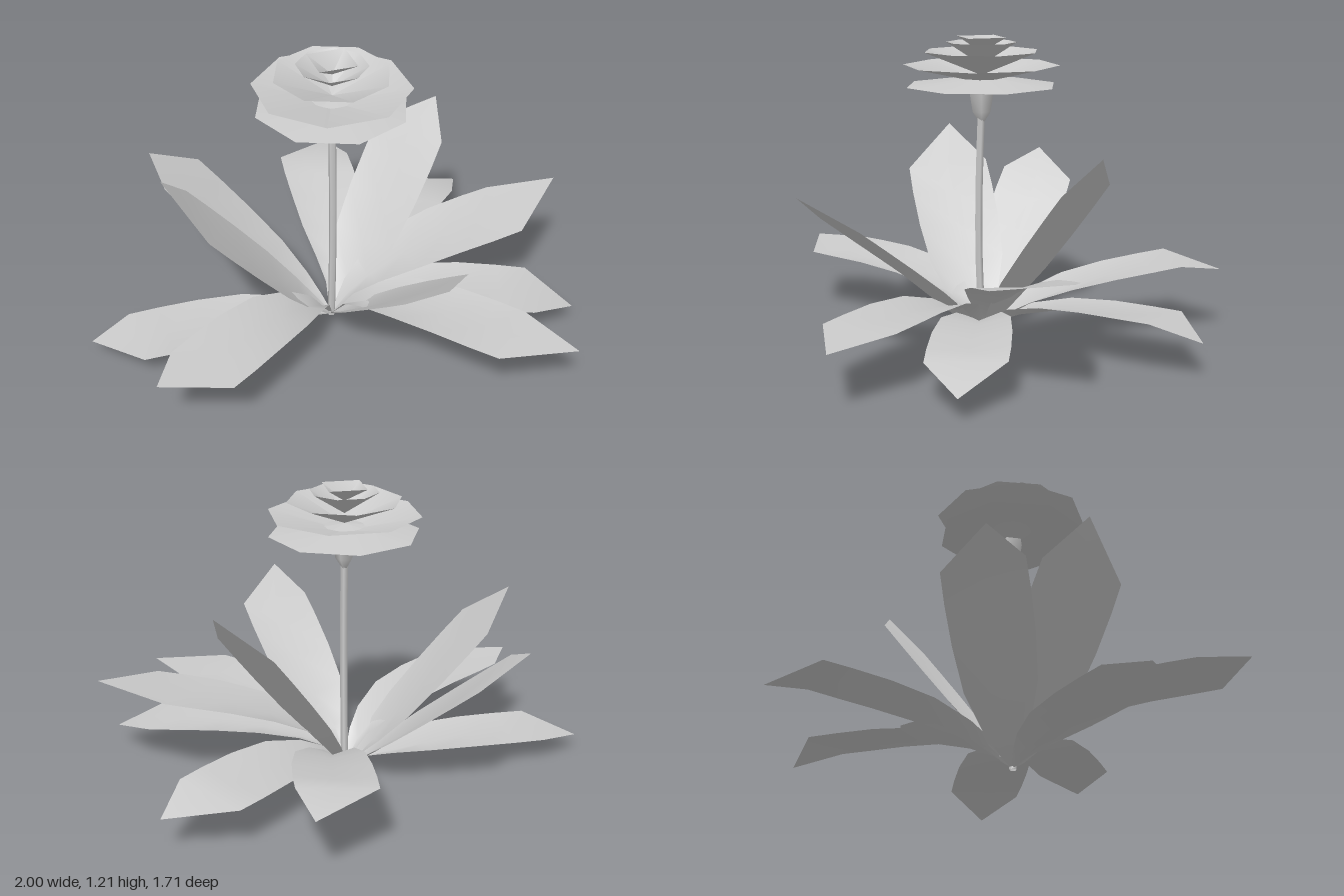
import * as THREE from 'three';

const material = new THREE.MeshStandardMaterial({ color: 0xcccccc, side: THREE.DoubleSide });
const CENTER_Z = 0.065;
const v = (a) => new THREE.Vector3(...a);

// Leaf blade: cross-sections swept from the root to the two shoulder corners, then one tip point
function makeLeaf({ tip, left, right, lift, sway = 0 }) {
  const root = new THREE.Vector3(0, 0.005, CENTER_Z);
  const L = v(left), R = v(right);
  const end = L.clone().add(R).multiplyScalar(0.5);
  const half = R.clone().sub(L).multiplyScalar(0.5);
  const rows = [[0, 0.04], [0.1, 0.32], [0.22, 0.6], [0.42, 0.9], [0.65, 1], [0.85, 1.02], [1, 1]];
  const pos = [], index = [];
  rows.forEach(([t, width], i) => {
    // Steep rise near the root that flattens outwards, with a folded midrib
    const arch = Math.sin(Math.PI * t ** 0.6);
    const fold = 0.035 * Math.sin(Math.PI * Math.sqrt(t));
    for (const side of [-1, 0, 1]) {
      const p = root.clone().lerp(end, t).addScaledVector(half, side * width);
      p.x += sway * arch;
      p.y += lift * arch - (side === 0 ? fold : 0);
      pos.push(p.x, Math.max(p.y, 0), p.z);
    }
    if (i > 0) {
      for (let c = 0; c < 2; c++) {
        const a = (i - 1) * 3 + c, b = a + 3;
        index.push(a, a + 1, b, a + 1, b + 1, b);
      }
    }
  });
  const last = (rows.length - 1) * 3, tipIndex = rows.length * 3;
  pos.push(...tip);
  index.push(last, last + 1, tipIndex, last + 1, last + 2, tipIndex);
  // Wind the faces so that the upper side is the front
  const up = new THREE.Vector3().crossVectors(half, end.clone().sub(root)).y > 0;
  if (!up) for (let i = 0; i < index.length; i += 3) [index[i], index[i + 1]] = [index[i + 1], index[i]];
  const geometry = new THREE.BufferGeometry();
  geometry.setAttribute('position', new THREE.Float32BufferAttribute(pos, 3));
  geometry.setIndex(index);
  geometry.computeVertexNormals();
  return new THREE.Mesh(geometry, material);
}

// Ring from [radius, height] points; turn is in fractions of one side
function makeRing(name, points, sides, turn) {
  const profile = points.map(([r, y]) => new THREE.Vector2(r, y));
  const mesh = new THREE.Mesh(new THREE.LatheGeometry(profile, sides), material);
  mesh.name = name;
  mesh.rotation.y = (turn * Math.PI * 2) / sides;
  mesh.position.z = CENTER_Z;
  return mesh;
}

export function createModel() {
  const model = new THREE.Group();
  model.name = 'floweringPlant';

  // Leaves: tip point, the two shoulder corners, how much the blade arches and bends sideways
  const leaves = [
    { tip: [0.29, 0.265, -0.86], left: [0.03, 0.3, -0.73], right: [0.33, 0.3, -0.665], lift: 0.1, sway: 0.05 },
    { tip: [0.81, 0.145, -0.52], left: [0.52, 0.18, -0.575], right: [0.72, 0.21, -0.34], lift: 0.1 },
    { tip: [0.56, 0.8, -0.22], left: [0.35, 0.66, -0.34], right: [0.53, 0.665, -0.07], lift: 0 },
    { tip: [1, 0.47, 0.06], left: [0.75, 0.4, -0.06], right: [0.75, 0.4, 0.28], lift: 0.12 },
    { tip: [0.925, 0.09, 0.45], left: [0.81, 0.16, 0.23], right: [0.715, 0.155, 0.51], lift: 0.11 },
    { tip: [0.73, 0.225, 0.85], left: [0.63, 0.24, 0.585], right: [0.415, 0.235, 0.8], lift: 0.13 },
    { tip: [0.17, 0.65, 0.84], left: [0.34, 0.54, 0.64], right: [0.05, 0.54, 0.73], lift: 0.02 },
    { tip: [-0.85, 0.265, 0.565], left: [-0.58, 0.25, 0.645], right: [-0.755, 0.26, 0.39], lift: 0.13 },
    { tip: [-1, 0.07, 0], left: [-0.83, 0.1, 0.215], right: [-0.83, 0.1, -0.085], lift: 0.05 },
    { tip: [-0.67, 0.77, 0], left: [-0.545, 0.6, 0.22], right: [-0.545, 0.62, -0.13], lift: 0 },
    { tip: [-0.63, 0.645, -0.415], left: [-0.61, 0.57, -0.24], right: [-0.41, 0.53, -0.48], lift: 0 },
  ];
  const rosette = new THREE.Group();
  rosette.name = 'leaves';
  leaves.forEach((spec, i) => {
    const leaf = makeLeaf(spec);
    leaf.name = `leaf${i + 1}`;
    rosette.add(leaf);
  });
  model.add(rosette);

  // Stem with a slight bend
  const stemPath = new THREE.CatmullRomCurve3([
    [0, 0, CENTER_Z], [0, 0.3, 0.078], [0, 0.6, 0.078], [0, 0.92, 0.067],
  ].map(v));
  const stem = new THREE.Mesh(new THREE.TubeGeometry(stemPath, 6, 0.016, 5), material);
  stem.name = 'stem';
  model.add(stem);

  // Flower: calyx below, stacked conical petal rings above
  const flower = new THREE.Group();
  flower.name = 'flower';
  flower.add(
    makeRing('calyx', [[0.012, 0.875], [0.037, 0.915], [0.05, 0.995]], 5, 0),
    makeRing('outerPetals', [[0.305, 1.02], [0, 1.06]], 8, 0),
    makeRing('lowerPetals', [[0, 1.03], [0.31, 1.1]], 8, 0.5),
    makeRing('middlePetals', [[0, 1.06], [0.232, 1.155]], 8, 0),
    makeRing('upperPetals', [[0, 1.1], [0.14, 1.19]], 8, 0.5),
    makeRing('innerPetals', [[0, 1.15], [0.108, 1.21]], 4, 0.5),
  );
  model.add(flower);
  return model;
}
